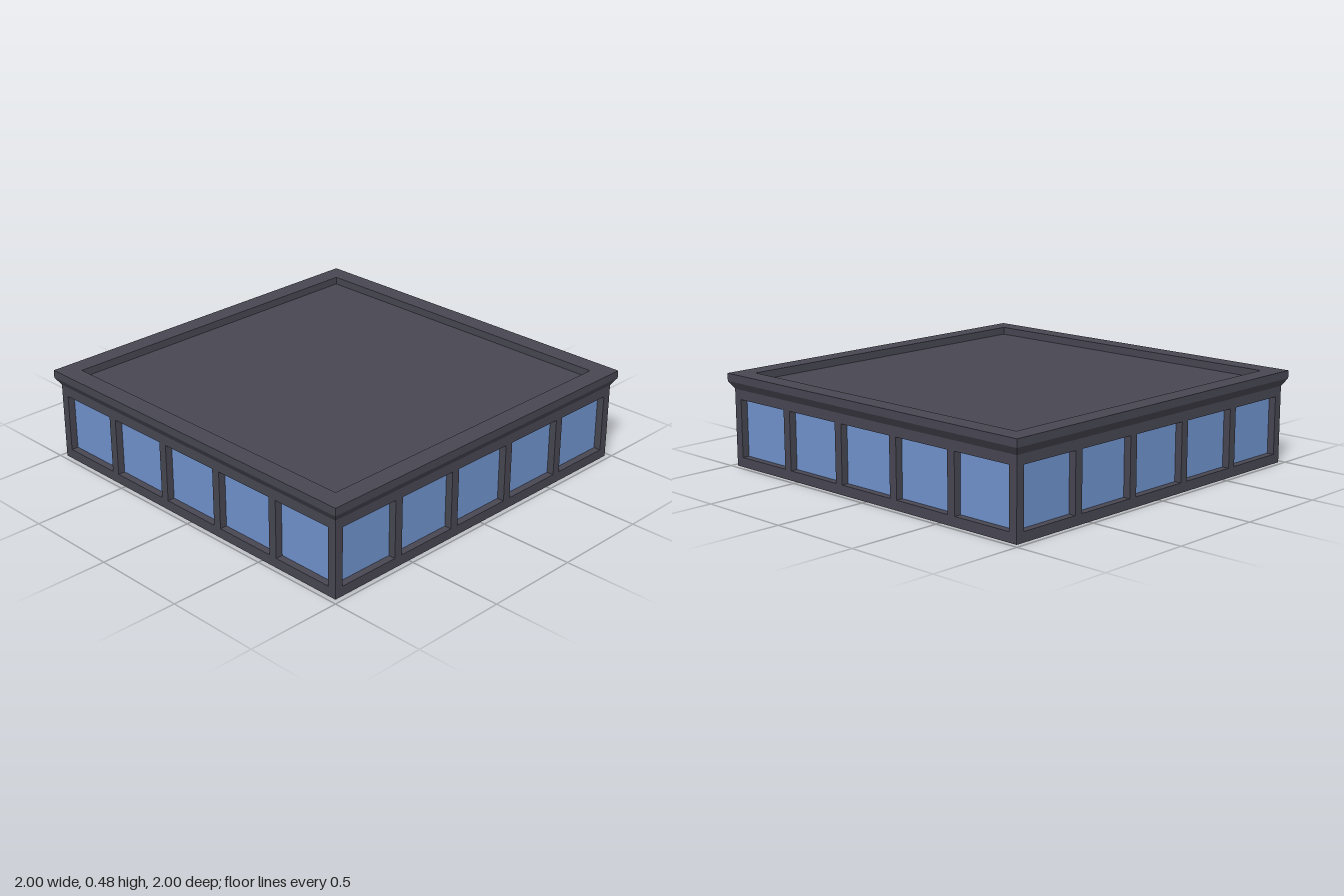
import * as THREE from 'three';

const HALF = 0.975;      // outer face of the walls
const THICK = 0.042;     // wall thickness
const DECK = 0.44;       // roof deck height
const PITCH = 0.381;     // spacing of the windows
const WIN_W = 0.336, WIN_BOTTOM = 0.05, WIN_TOP = 0.35;

function rect(Type, x0, y0, x1, y1) {
  const p = new Type();
  p.moveTo(x0, y0);
  p.lineTo(x1, y0);
  p.lineTo(x1, y1);
  p.lineTo(x0, y1);
  p.closePath();
  return p;
}

export function createModel() {
  const model = new THREE.Group();
  model.name = 'glazedPavilion';

  const frameMat = new THREE.MeshStandardMaterial({ color: 0x474652, side: THREE.DoubleSide });
  frameMat.name = 'dark frame';
  const glassMat = new THREE.MeshStandardMaterial({ color: 0x6f92cc });
  glassMat.name = 'blue glass';

  // Wall panel with five window openings
  const centres = [-2, -1, 0, 1, 2].map((i) => i * PITCH);
  const outline = rect(THREE.Shape, -HALF, 0, HALF, DECK);
  for (const c of centres) {
    outline.holes.push(rect(THREE.Path, c - WIN_W / 2, WIN_BOTTOM, c + WIN_W / 2, WIN_TOP));
  }
  const wallGeo = new THREE.ExtrudeGeometry(outline, { depth: THICK, bevelEnabled: false });
  wallGeo.translate(0, 0, HALF - THICK);
  const paneGeo = new THREE.BoxGeometry(WIN_W, WIN_TOP - WIN_BOTTOM, 0.004);

  // Four identical sides, glass set flush with the inner face
  ['front', 'left', 'back', 'right'].forEach((side, i) => {
    const group = new THREE.Group();
    group.name = side + 'Side';
    const wall = new THREE.Mesh(wallGeo, frameMat);
    wall.name = side + 'Wall';
    group.add(wall);
    centres.forEach((c, k) => {
      const pane = new THREE.Mesh(paneGeo, glassMat);
      pane.name = side + 'Window' + (k + 1);
      pane.position.set(c, (WIN_BOTTOM + WIN_TOP) / 2, HALF - THICK + 0.002);
      group.add(pane);
    });
    group.rotation.y = (i * Math.PI) / 2;
    model.add(group);
  });

  // Square cornice and parapet swept around the roof edge
  const profile = [
    [HALF, 0.4], [1, 0.44], [1, 0.48], [0.9, 0.48], [0.9, DECK], [HALF - THICK, DECK],
  ].map(([r, y]) => new THREE.Vector2(r * Math.SQRT2, y));
  const corniceGeo = new THREE.LatheGeometry(profile, 4, Math.PI / 4).toNonIndexed();
  corniceGeo.computeVertexNormals();
  const cornice = new THREE.Mesh(corniceGeo, frameMat);
  cornice.name = 'cornice';
  model.add(cornice);

  // Sunken roof deck, also the ceiling inside
  const deckGeo = new THREE.PlaneGeometry(1.8, 1.8);
  deckGeo.rotateX(-Math.PI / 2);
  const deck = new THREE.Mesh(deckGeo, frameMat);
  deck.name = 'roofDeck';
  deck.position.y = DECK;
  model.add(deck);

  return model;
}
